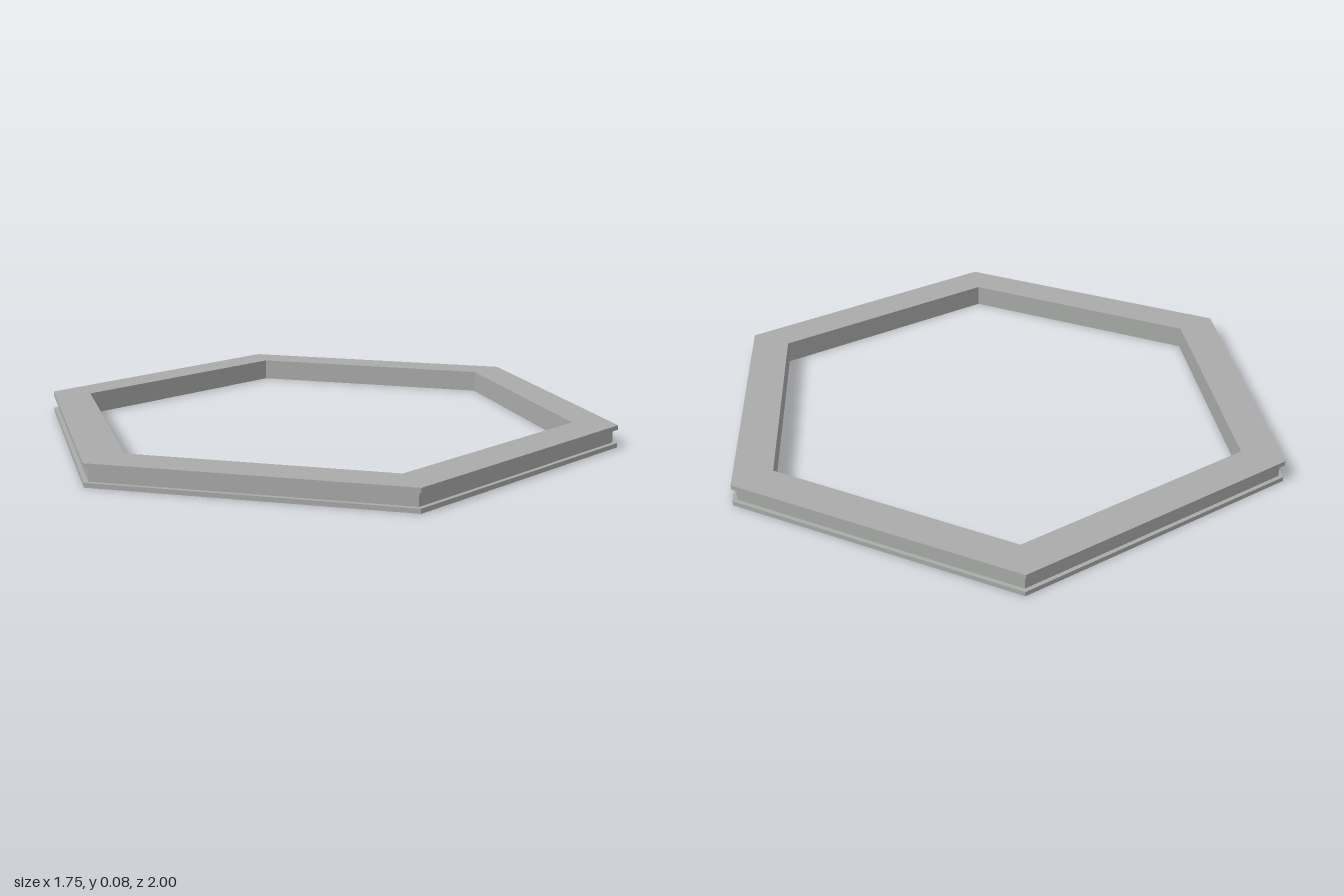
import * as THREE from 'three';

// Corners as [x, z], clockwise seen from above, starting at the back
const OUTER = [[0.005, -1], [0.875, -0.503], [0.875, 0.492], [0.005, 1], [-0.875, 0.508], [-0.875, -0.51]];
const INNER = [[0.005, -0.855], [0.745, -0.43], [0.745, 0.422], [0.005, 0.848], [-0.752, 0.433], [-0.752, -0.44]];

// Cross-section as [fraction from inner to outer edge, height], with a groove on the outside
const PROFILE = [
  [0, 0], [1, 0], [1, 0.015], [0.89, 0.015],
  [0.89, 0.06], [1, 0.06], [1, 0.075], [0, 0.075],
];

// Sweep the cross-section round the hexagon with mitred corners
function sweptRing() {
  const point = (corner, step) => {
    const i = corner % OUTER.length;
    const [t, y] = PROFILE[step % PROFILE.length];
    return [
      THREE.MathUtils.lerp(INNER[i][0], OUTER[i][0], t),
      y,
      THREE.MathUtils.lerp(INNER[i][1], OUTER[i][1], t),
    ];
  };
  const positions = [];
  for (let i = 0; i < OUTER.length; i++) {
    for (let j = 0; j < PROFILE.length; j++) {
      const a = point(i, j), b = point(i, j + 1);
      const c = point(i + 1, j + 1), d = point(i + 1, j);
      positions.push(...a, ...b, ...c, ...a, ...c, ...d);
    }
  }
  const geometry = new THREE.BufferGeometry();
  geometry.setAttribute('position', new THREE.Float32BufferAttribute(positions, 3));
  geometry.computeVertexNormals();
  return geometry;
}

export function createModel() {
  const grey = new THREE.MeshStandardMaterial({ color: 0xa9aba9 });
  grey.name = 'grey';

  const frame = new THREE.Mesh(sweptRing(), grey);
  frame.name = 'groovedHexagonalFrame';

  const model = new THREE.Group();
  model.name = 'hexagonalRing';
  model.add(frame);
  return model;
}
